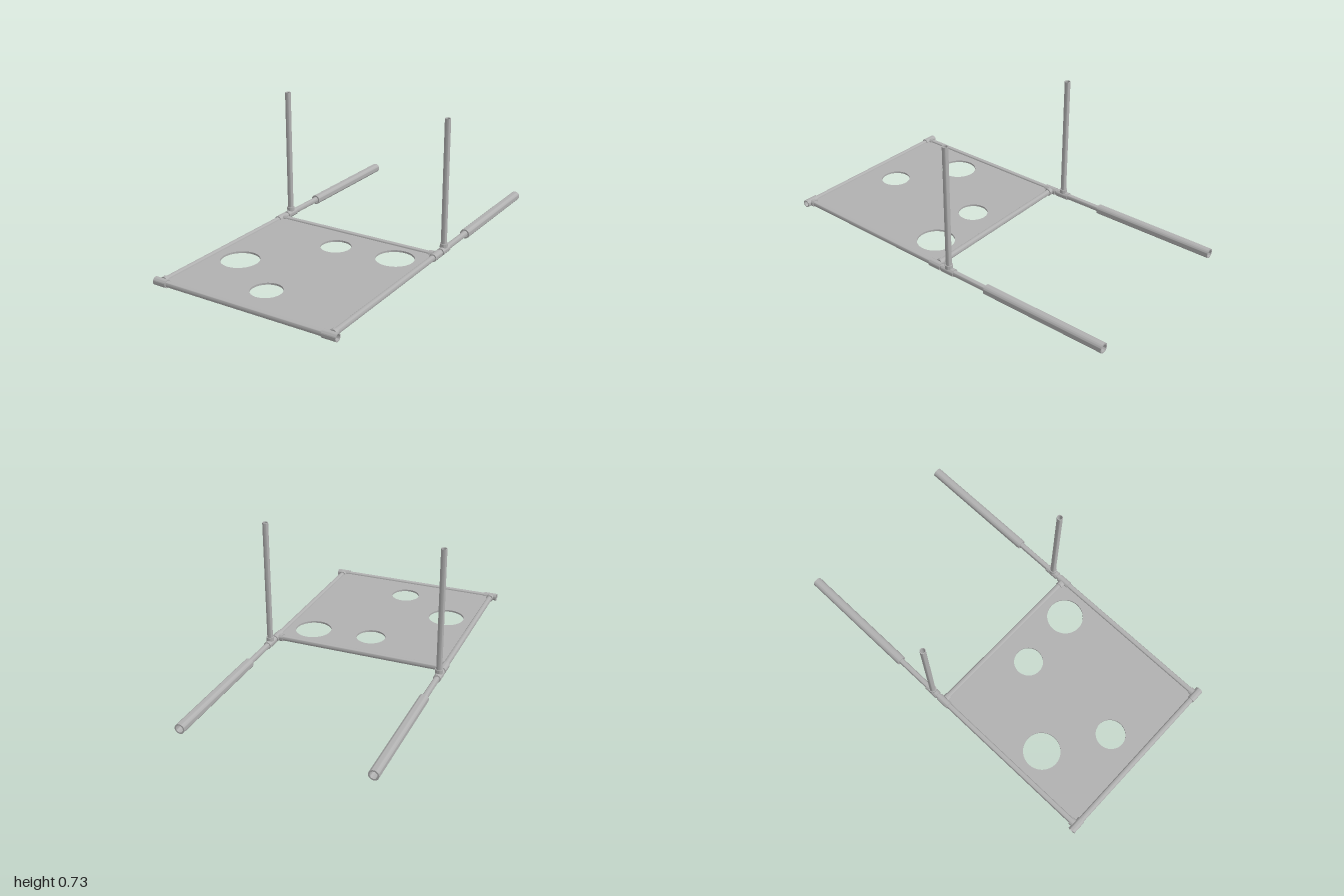
import * as THREE from 'three';
import { toCreasedNormals } from 'three/addons/utils/BufferGeometryUtils.js';

const Y = 0.027; // height of the pipe axes
const X = 0.482; // sideways offset of the side rails
const FRONT = 0.977, BACK = 0.012, POST = -0.07;
const PIPE = 0.0155, JOINT = 0.0205, GRIP = 0.026;

export function createModel() {
  const model = new THREE.Group();
  const grey = new THREE.MeshStandardMaterial({ color: 0xb0b0b0 });
  grey.name = 'grey';

  // Hollow pipe between two points
  function pipe(name, a, b, outer, inner, parent = model) {
    const from = new THREE.Vector3(...a), to = new THREE.Vector3(...b);
    const ring = new THREE.Shape().absarc(0, 0, outer, 0, Math.PI * 2);
    ring.holes.push(new THREE.Path().absarc(0, 0, inner, 0, Math.PI * 2, true));
    const geometry = new THREE.ExtrudeGeometry(ring, {
      depth: from.distanceTo(to), bevelEnabled: false, curveSegments: 32,
    });
    const mesh = new THREE.Mesh(toCreasedNormals(geometry, 0.6), grey);
    mesh.name = name;
    mesh.position.copy(from);
    mesh.quaternion.setFromUnitVectors(
      new THREE.Vector3(0, 0, 1), to.clone().sub(from).normalize());
    parent.add(mesh);
  }

  // Tee fitting: a straight sleeve and a branch from its middle
  function tee(name, a, b, start, end) {
    const group = new THREE.Group();
    group.name = name;
    pipe('sleeve', a, b, JOINT, PIPE, group);
    pipe('branch', start, end, JOINT, PIPE, group);
    model.add(group);
  }

  // Panel with four round holes
  const W = 0.475, r = 0.015, z0 = BACK + 0.006, z1 = FRONT - 0.006;
  const outline = new THREE.Shape();
  outline.moveTo(-W + r, -z0).lineTo(-W, -z0 - r).lineTo(-W, -z1 + r).lineTo(-W + r, -z1)
    .lineTo(W - r, -z1).lineTo(W, -z1 + r).lineTo(W, -z0 - r).lineTo(W - r, -z0);
  for (const [x, z, radius] of [
    [-0.005, 0.195, 0.08], [0.328, 0.163, 0.1], [-0.32, 0.585, 0.1], [0, 0.79, 0.08],
  ]) outline.holes.push(new THREE.Path().absarc(x, -z, radius, 0, Math.PI * 2, true));
  const panelGeometry = new THREE.ExtrudeGeometry(outline, {
    depth: 0.01, bevelEnabled: false, curveSegments: 48,
  });
  const panel = new THREE.Mesh(toCreasedNormals(panelGeometry, 0.6), grey);
  panel.name = 'panel';
  panel.rotation.x = -Math.PI / 2;
  panel.position.y = Y - 0.005;
  model.add(panel);

  // Cross rails
  pipe('frontRail', [-X, Y, FRONT], [X, Y, FRONT], PIPE, 0.012);
  pipe('backRail', [-X + 0.016, Y, BACK], [X - 0.016, Y, BACK], PIPE, 0.012);

  // Rails, fittings, posts and grips on both sides
  for (const side of [1, -1]) {
    const x = side * X;
    pipe('sideRail', [x, Y, BACK], [x, Y, FRONT - 0.016], PIPE, 0.012);
    pipe('handleBar', [x, Y, -0.34], [x, Y, BACK], PIPE, 0.012);
    pipe('post', [x, Y + 0.016, POST], [x, 0.727, POST], PIPE, 0.012);
    pipe('grip', [x, Y, -1], [x, Y, -0.315], GRIP, PIPE + 0.003);

    tee('frontTee', [side * 0.443, Y, FRONT], [side * 0.518, Y, FRONT],
      [x, Y, FRONT - 0.016], [x, Y, 0.942]);
    tee('backTee', [x, Y, -0.02], [x, Y, 0.052],
      [x - side * 0.016, Y, BACK], [side * 0.443, Y, BACK]);
    tee('postTee', [x, Y, -0.108], [x, Y, -0.032],
      [x, Y + 0.016, POST], [x, 0.065, POST]);
  }
  return model;
}
